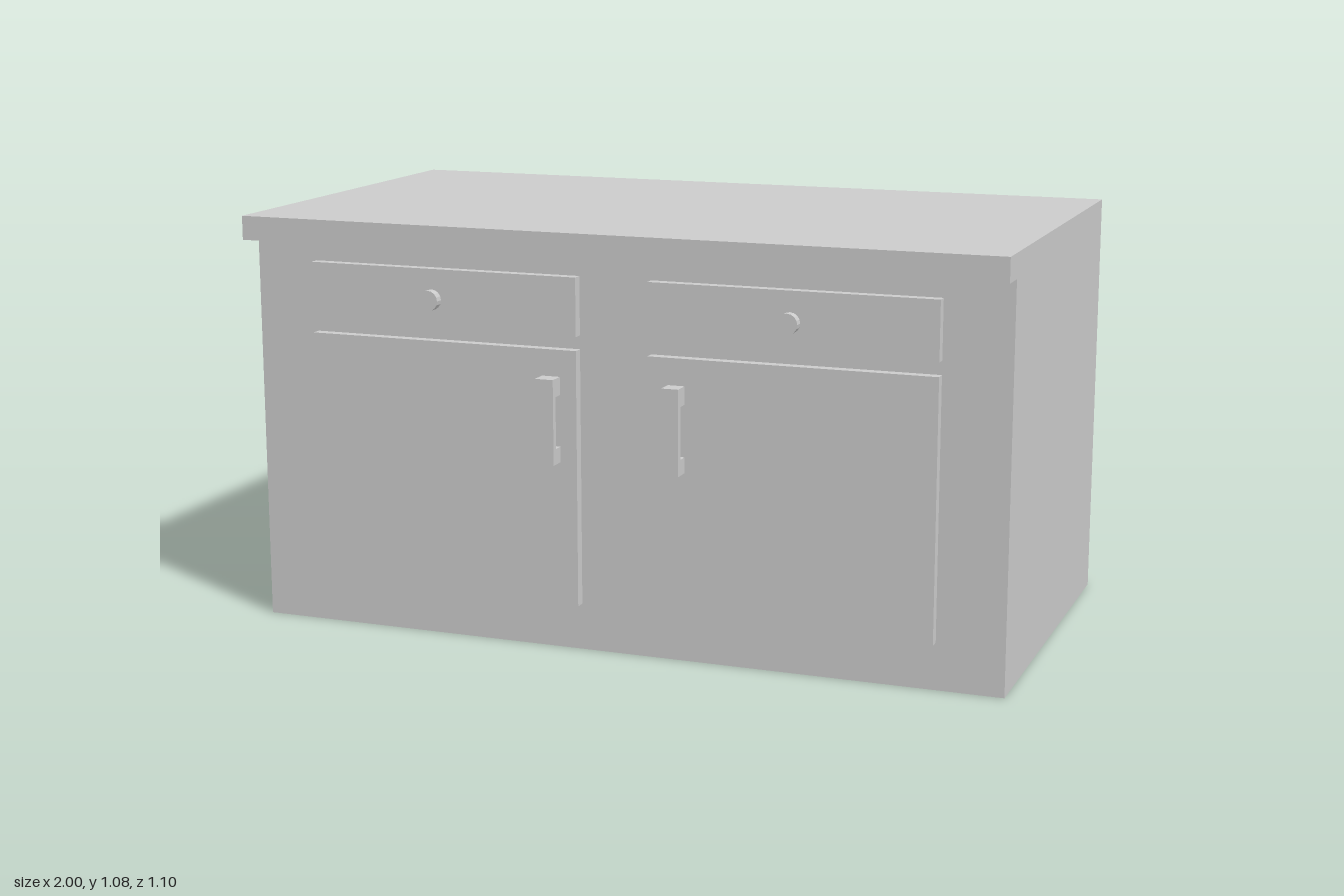
import * as THREE from 'three';

const material = new THREE.MeshStandardMaterial({ color: 0xcccccc, flatShading: true });

const BODY_FRONT = 0.478;
const PANEL_FRONT = 0.505;

function addMesh(parent, name, geometry) {
  const mesh = new THREE.Mesh(geometry, material);
  mesh.name = name;
  parent.add(mesh);
  return mesh;
}

// Box given by its lower and upper limits on each axis
function addBox(parent, name, [x0, x1], [y0, y1], [z0, z1]) {
  const mesh = addMesh(parent, name, new THREE.BoxGeometry(x1 - x0, y1 - y0, z1 - z0));
  mesh.position.set((x0 + x1) / 2, (y0 + y1) / 2, (z0 + z1) / 2);
  return mesh;
}

// U-shaped pull: profile in the z-y plane, extruded along x
function addHandle(parent, name, x, width) {
  const shape = new THREE.Shape([
    [0, 0.492], [0.044, 0.492], [0.044, 0.71], [0, 0.71],
    [0, 0.664], [0.028, 0.664], [0.028, 0.532], [0, 0.532],
  ].map(([z, y]) => new THREE.Vector2(z, y)));
  const geometry = new THREE.ExtrudeGeometry(shape, { depth: width, bevelEnabled: false });
  geometry.translate(0, 0, -width / 2).rotateY(-Math.PI / 2);
  addMesh(parent, name, geometry).position.set(x, 0, PANEL_FRONT);
}

// Round knob: thin stem, wide head, turned to point forward
function addKnob(parent, name, x) {
  const profile = [[0.012, 0], [0.012, 0.016], [0.026, 0.016], [0.026, 0.039], [0, 0.039]];
  const geometry = new THREE.LatheGeometry(profile.map(([r, h]) => new THREE.Vector2(r, h)), 16);
  geometry.rotateX(Math.PI / 2);
  addMesh(parent, name, geometry).position.set(x, 0.887, PANEL_FRONT);
}

export function createModel() {
  const group = new THREE.Group();
  group.name = 'cabinet';

  // Carcass and overhanging top
  addBox(group, 'body', [-0.996, 1], [0, 1.016], [-0.548, BODY_FRONT]);
  addBox(group, 'countertop', [-1, 1], [1.016, 1.078], [-0.548, 0.55]);

  // Drawer front, door, knob and pull for each half
  const halves = [
    { side: 'right', x: [-0.828, -0.095], knobX: -0.48, handleX: -0.163, handleWidth: 0.048 },
    { side: 'left', x: [0.095, 0.828], knobX: 0.465, handleX: 0.17, handleWidth: 0.044 },
  ];
  for (const { side, x, knobX, handleX, handleWidth } of halves) {
    addBox(group, `${side} drawer front`, x, [0.813, 0.962], [BODY_FRONT, PANEL_FRONT]);
    addBox(group, `${side} door`, x, [0.12, 0.778], [BODY_FRONT, PANEL_FRONT]);
    addKnob(group, `${side} knob`, knobX);
    addHandle(group, `${side} handle`, handleX, handleWidth);
  }
  return group;
}
